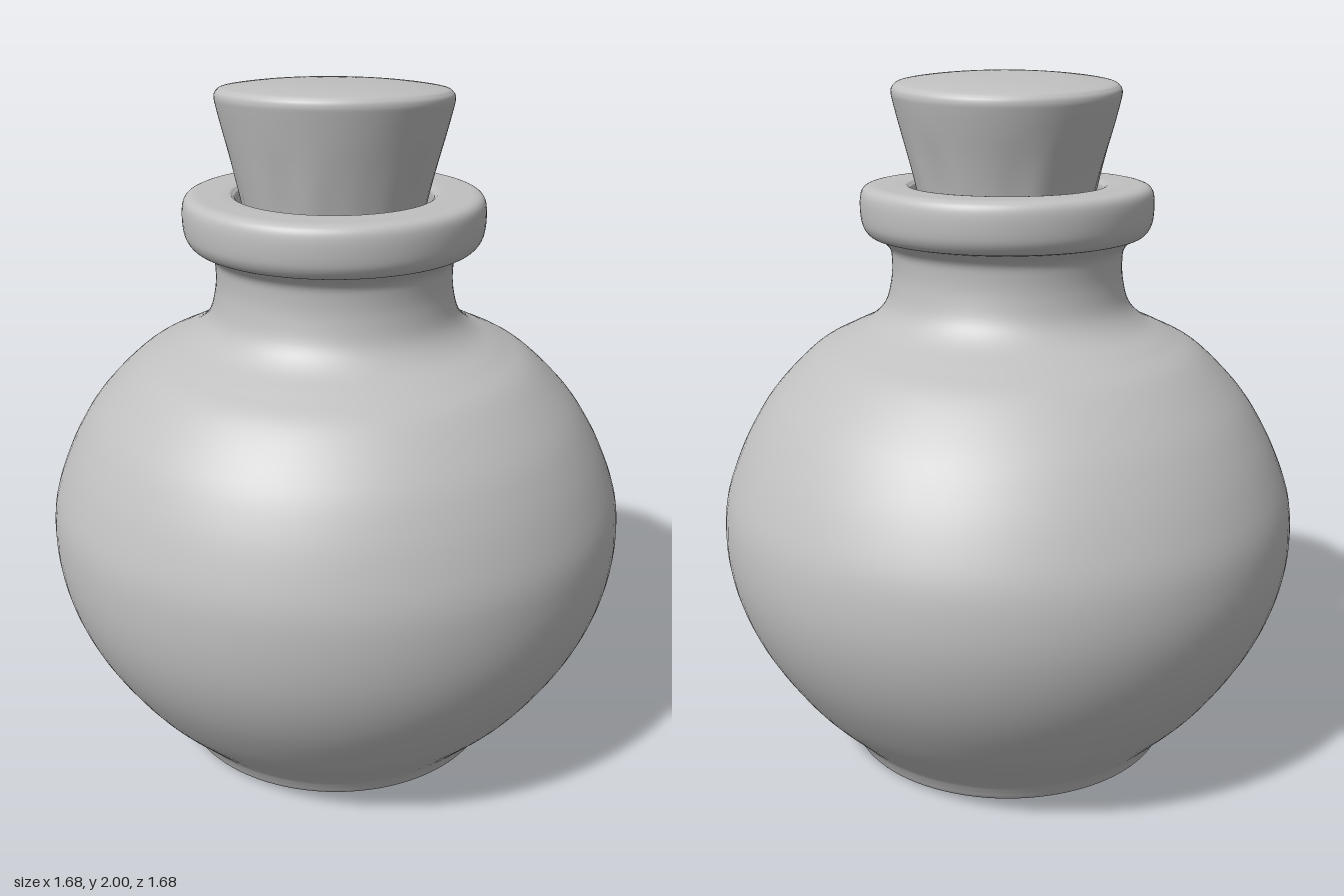
import * as THREE from 'three';
import { mergeVertices } from 'three/addons/utils/BufferGeometryUtils.js';

const SEGMENTS = 96;
const grey = new THREE.MeshStandardMaterial({ color: 0xc0c0c0 });
grey.name = 'plainGrey';

// Smooth curve through a few [radius, height] points
function smooth(points, steps) {
  return new THREE.SplineCurve(points.map(([r, y]) => new THREE.Vector2(r, y))).getPoints(steps)
    .map((p) => p.set(Math.max(p.x, 0), p.y));
}

// Spin a profile, bend it by a rule, and weld the seam for smooth normals
function turned(name, profile, rule) {
  let geo = new THREE.LatheGeometry(profile, SEGMENTS);
  const pos = geo.attributes.position;
  const v = new THREE.Vector3();
  for (let i = 0; i < pos.count; i++) {
    v.fromBufferAttribute(pos, i);
    rule(v);
    pos.setXYZ(i, v.x, v.y, v.z);
  }
  geo.deleteAttribute('uv');
  geo.deleteAttribute('normal');
  geo = mergeVertices(geo, 1e-5);
  geo.computeVertexNormals();
  const mesh = new THREE.Mesh(geo, grey);
  mesh.name = name;
  return mesh;
}

// The neck sits slightly off the centre of the body
function lean(v) {
  const s = 0.03 * THREE.MathUtils.smoothstep(v.y, 0.6, 1.4);
  v.x += s;
  v.z += s;
}

export function createModel() {
  const group = new THREE.Group();
  group.name = 'corkedBottle';

  // Round body with a flat foot and a narrow neck
  const foot = [[0, 0.005], [0.3, 0.004], [0.43, 0.002], [0.445, 0]].map(([r, y]) => new THREE.Vector2(r, y));
  const wall = smooth([
    [0.45, 0], [0.477, 0.012], [0.493, 0.04], [0.51, 0.068], [0.545, 0.105], [0.635, 0.2], [0.708, 0.3],
    [0.767, 0.4], [0.809, 0.5], [0.834, 0.6], [0.842, 0.7], [0.833, 0.8], [0.8, 0.9], [0.752, 1.0],
    [0.685, 1.1], [0.575, 1.21], [0.485, 1.26], [0.405, 1.3], [0.357, 1.35], [0.337, 1.42],
    [0.334, 1.48], [0.341, 1.515], [0.37, 1.545],
  ], 110);
  group.add(turned('body', [...foot, ...wall], lean));

  // Rounded lip, dropping into the mouth around the stopper
  const lip = smooth([
    [0.335, 1.53], [0.365, 1.543], [0.395, 1.552], [0.413, 1.575], [0.42, 1.605], [0.421, 1.65],
    [0.414, 1.678], [0.395, 1.691], [0.36, 1.693], [0.3, 1.692], [0.282, 1.686], [0.272, 1.66], [0.27, 1.5],
  ], 60);
  group.add(turned('lip', lip, lean));

  // Tapered stopper with a domed, slightly tilted top and faint grooves
  const sides = [[0, 1.5], [0.2, 1.5], [0.22, 1.51]].map(([r, y]) => new THREE.Vector2(r, y));
  const cork = smooth([
    [0.222, 1.52], [0.243, 1.6], [0.262, 1.69], [0.284, 1.78], [0.305, 1.86], [0.321, 1.925],
    [0.325, 1.95], [0.318, 1.966], [0.295, 1.976], [0.2, 1.988], [0.1, 1.993], [0, 1.994],
  ], 70);
  group.add(turned('stopper', [...sides, ...cork], (v) => {
    const a = Math.atan2(v.z, v.x);
    const fade = 1 - THREE.MathUtils.smoothstep(v.y, 1.68, 1.88);
    const k = 1 + 0.01 * fade * (Math.sin(9 * a) + 0.6 * Math.sin(14 * a + 1));
    v.x *= k;
    v.z *= k;
    v.y += 0.04 * (v.x + v.z) * THREE.MathUtils.smoothstep(v.y, 1.7, 1.95);
    v.x += 0.032;
    v.z += 0.03;
  }));

  return group;
}
